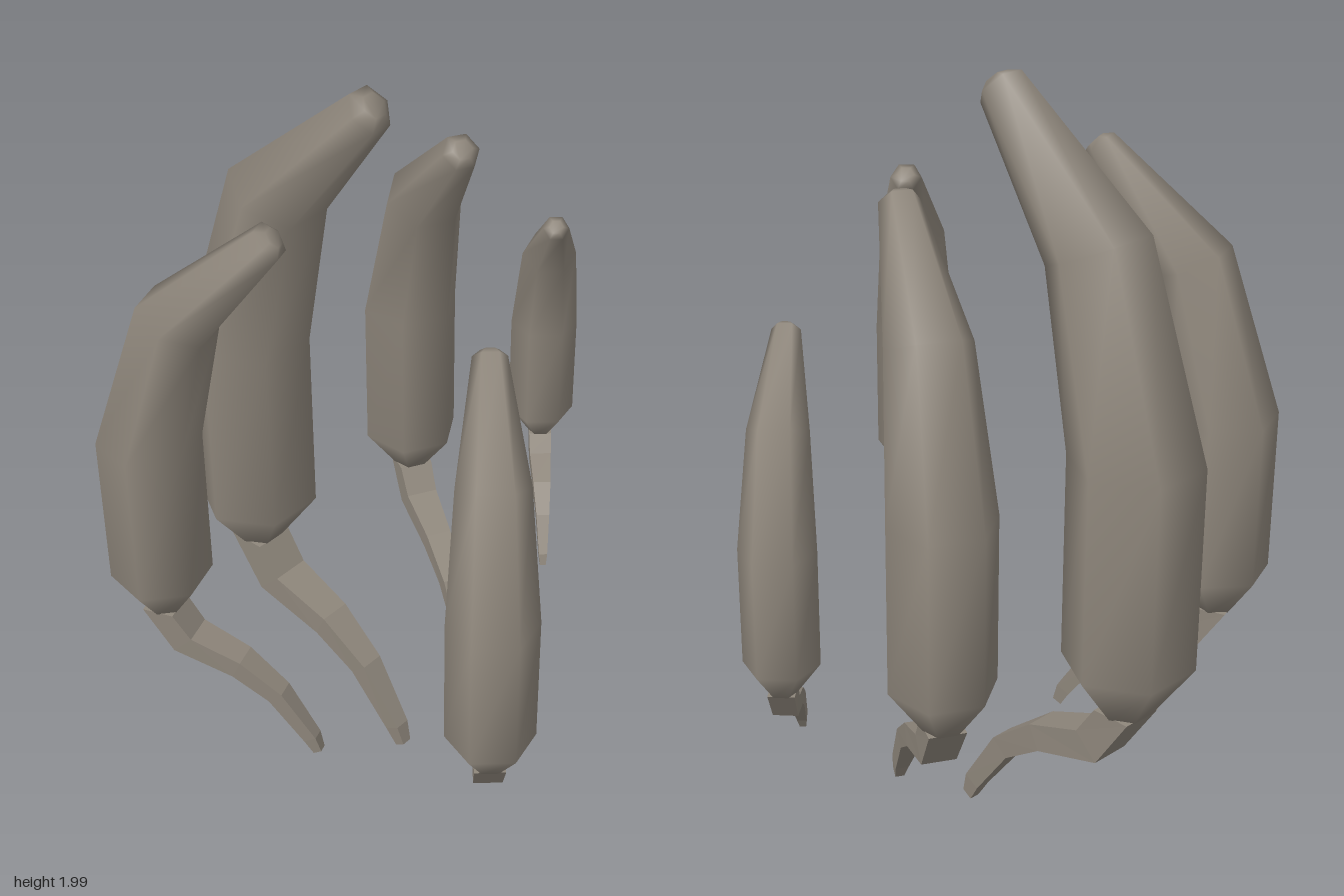
import * as THREE from 'three';

// Closed loft, bottom to top. Each ring: [inward offset, height, half depth, half width, tilt in degrees].
// The outline gives unit points (depth, width) of the cross-section.
function loft(rings, outline) {
  const n = outline.length, pos = [], index = [];
  for (const [u, y, depth, width, tilt] of rings) {
    const t = THREE.MathUtils.degToRad(tilt);
    for (const [a, b] of outline) {
      pos.push(u + a * depth * Math.cos(t), y - a * depth * Math.sin(t), b * width);
    }
  }
  for (let r = 0; r < rings.length - 1; r++) {
    for (let i = 0; i < n; i++) {
      const p = r * n + i, q = r * n + (i + 1) % n;
      index.push(p, p + n, q, q, p + n, q + n);
    }
  }
  const top = (rings.length - 1) * n;
  for (let i = 1; i < n - 1; i++) {
    index.push(0, i, i + 1);
    index.push(top, top + i + 1, top + i);
  }
  const geo = new THREE.BufferGeometry();
  geo.setAttribute('position', new THREE.Float32BufferAttribute(pos, 3));
  geo.setIndex(index);
  geo.computeVertexNormals();
  return geo;
}

export function createModel() {
  const group = new THREE.Group();
  const color = 0x8f877c;
  const smooth = new THREE.MeshStandardMaterial({ color });
  const faceted = new THREE.MeshStandardMaterial({ color, flatShading: true });

  // Six-sided curved body, in units of its own radius
  const hexagon = Array.from({ length: 6 }, (_, i) => {
    const a = (i + 0.5) * Math.PI / 3;
    return [Math.cos(a), Math.sin(a)];
  });
  const bodyGeo = loft([
    [0, 0, 0.38, 0.38, 0],
    [0, 0.85, 1, 1, 0],
    [0, 4.06, 1, 1, 0],
    [0.82, 6.95, 0.79, 0.79, 24],
    [2.7, 8.88, 0.37, 0.37, 48],
    [2.79, 8.97, 0.2, 0.2, 48],
  ], hexagon);

  // Four-sided tapering tail that winds inward below the body
  const square = [[1, -1], [1, 1], [-1, 1], [-1, -1]];
  const tailGeo = loft([
    [3.22, -2.98, 0.1, 0.09, -32],
    [3.08, -2.65, 0.15, 0.13, -32],
    [2.39, -1.66, 0.19, 0.2, -42],
    [1.6, -1.08, 0.22, 0.27, -65],
    [0.48, -0.7, 0.28, 0.33, -45],
    [0, 0.02, 0.32, 0.35, 0],
  ], square);

  // name, x, base height, z, radius, inward direction in degrees from +x towards +z
  const fingers = [
    ['rightFinger', -0.585, 0.58, -0.352, 0.132, 51.5],
    ['middleFinger', -0.185, 0.5, -0.582, 0.164, 72],
    ['leftFinger', 0.3, 0.58, -0.565, 0.131, 100.5],
    ['smallFinger', 0.625, 0.67, -0.39, 0.09, 120.5],
    ['thumb', -0.205, 0.63, 0.63, 0.1085, -60.5],
  ];
  for (const [name, x, y, z, radius, heading] of fingers) {
    const finger = new THREE.Group();
    finger.name = name;
    const body = new THREE.Mesh(bodyGeo, smooth);
    body.name = 'body';
    const tail = new THREE.Mesh(tailGeo, faceted);
    tail.name = 'tail';
    finger.add(body, tail);
    finger.position.set(x, y, z);
    finger.scale.setScalar(radius);
    finger.rotation.y = -THREE.MathUtils.degToRad(heading);
    group.add(finger);
  }
  return group;
}
